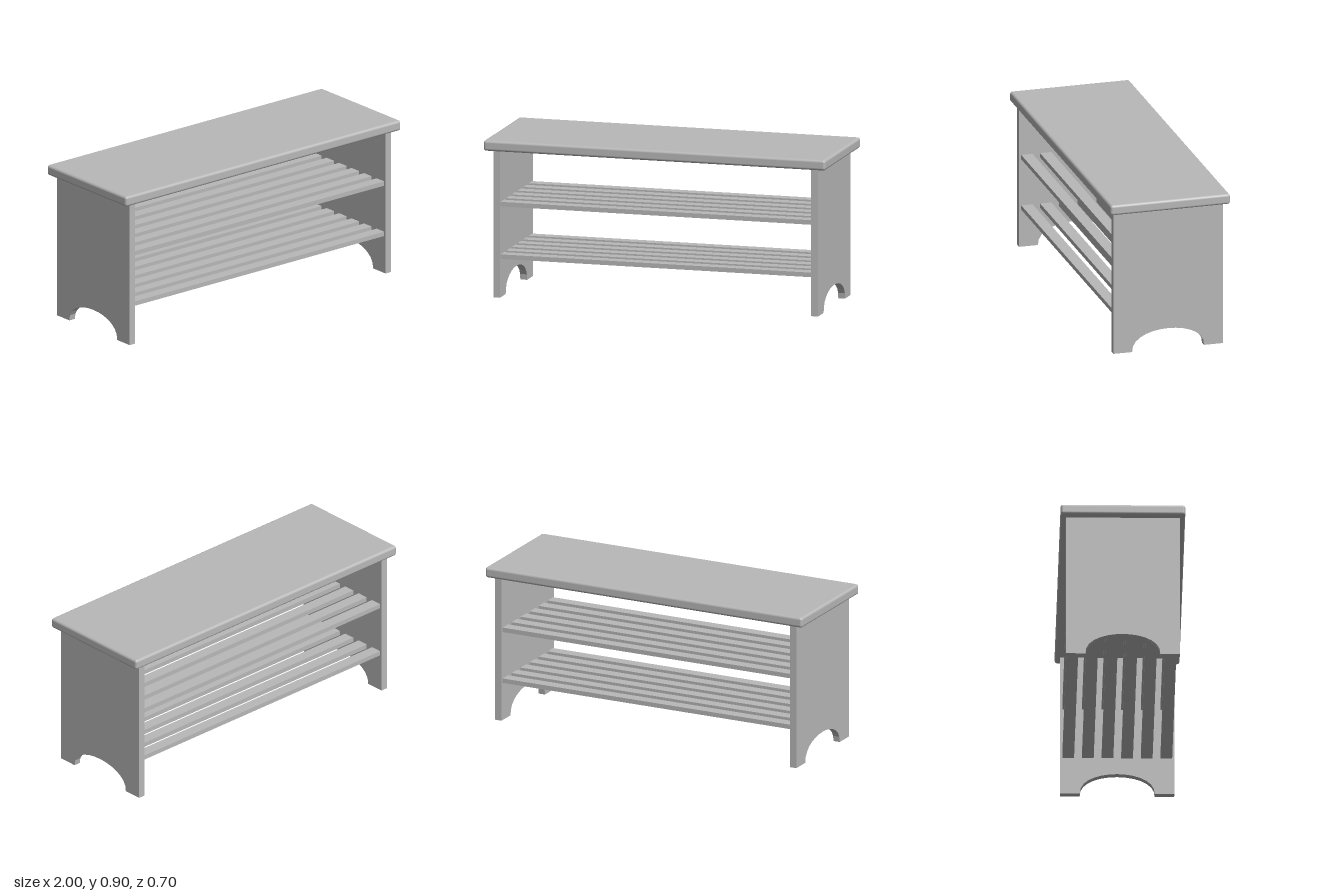
import * as THREE from 'three';
import { RoundedBoxGeometry } from 'three/addons/geometries/RoundedBoxGeometry.js';

export function createModel() {
  const bench = new THREE.Group();
  bench.name = 'slattedBench';
  const grey = new THREE.MeshStandardMaterial({ color: 0xb8b8b8 });
  grey.name = 'plain grey';

  const add = (name, geometry, x, y, z) => {
    const mesh = new THREE.Mesh(geometry, grey);
    mesh.name = name;
    mesh.position.set(x, y, z);
    bench.add(mesh);
    return mesh;
  };

  // Seat board with softened edges
  add('seat', new RoundedBoxGeometry(2, 0.06, 0.7, 3, 0.015), 0, 0.87, 0);

  // End panels with an arched cut-out at the floor
  const outline = new THREE.Shape();
  outline.moveTo(-0.32, 0);
  outline.lineTo(-0.21, 0);
  outline.bezierCurveTo(-0.22, 0.162, 0.22, 0.162, 0.21, 0);
  outline.lineTo(0.32, 0);
  outline.lineTo(0.32, 0.84);
  outline.lineTo(-0.32, 0.84);
  outline.closePath();
  const panel = new THREE.ExtrudeGeometry(outline, { depth: 0.04, bevelEnabled: false, curveSegments: 14 });
  panel.translate(0, 0, -0.02);
  panel.rotateY(Math.PI / 2);
  add('leftEndPanel', panel, 0.93, 0, 0);
  add('rightEndPanel', panel, -0.93, 0, 0);

  // Two shelves of six slats each
  const slat = new THREE.BoxGeometry(1.82, 0.026, 0.066);
  for (const [shelf, y] of [['lower', 0.233], ['upper', 0.533]]) {
    for (let i = 0; i < 6; i++) {
      add(`${shelf}ShelfSlat${i + 1}`, slat, 0, y, (i - 2.5) * 0.11);
    }
  }
  return bench;
}
